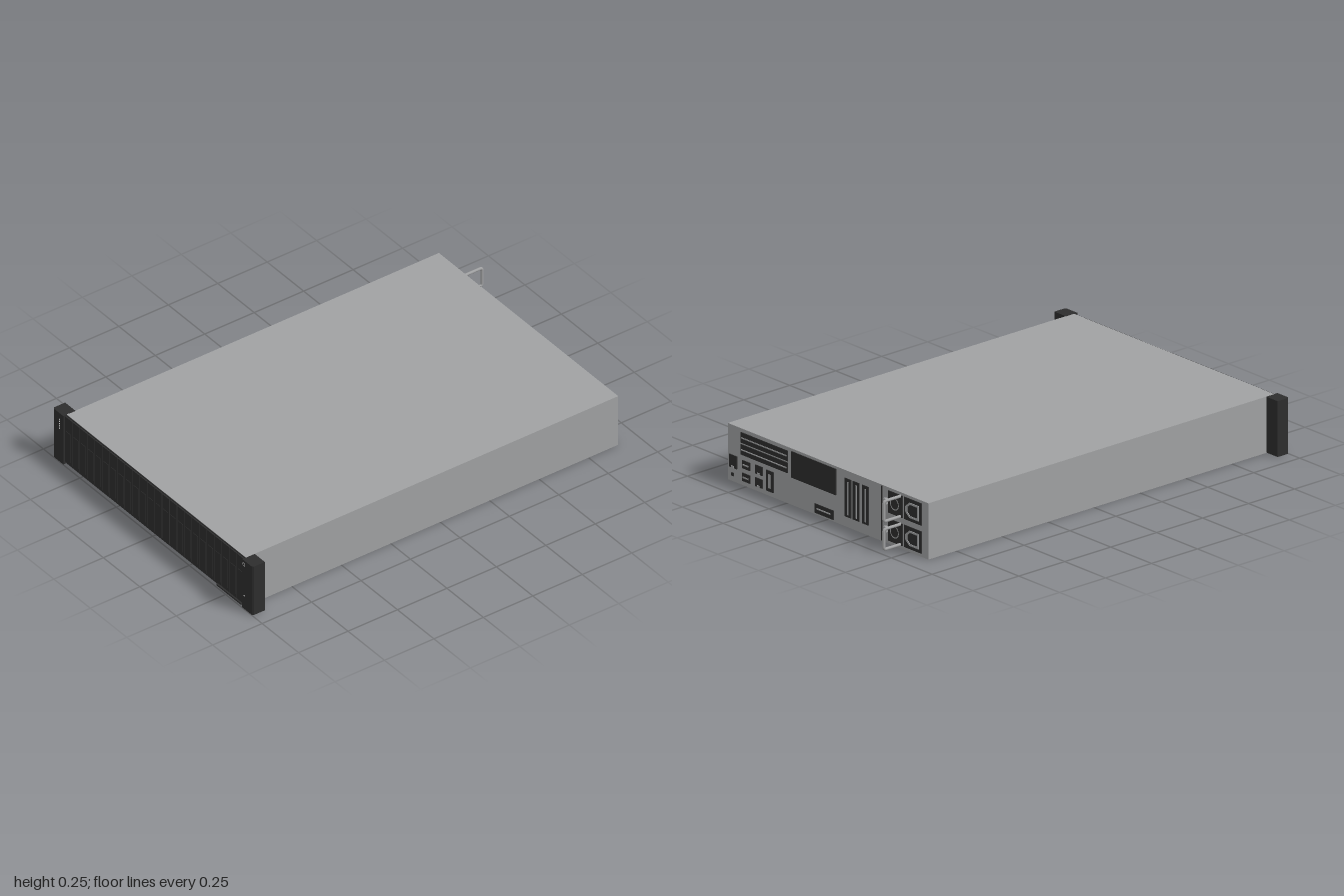
import * as THREE from 'three';

export function createModel() {
  const model = new THREE.Group();
  model.name = 'rackServer';

  const mat = (name, color) => {
    const m = new THREE.MeshStandardMaterial({ color });
    m.name = name;
    return m;
  };
  const steel = mat('steelGrey', 0xa0a1a2);
  const dark = mat('charcoal', 0x2d2d2d);
  const light = mat('lightMark', 0xe4e4e4);

  const add = (name, geo, material, parent = model) => {
    const mesh = new THREE.Mesh(geo, material);
    mesh.name = name;
    parent.add(mesh);
    return mesh;
  };
  // Box given by its extents on each axis
  const box = (name, x0, x1, y0, y1, z0, z1, material, parent) => {
    const geo = new THREE.BoxGeometry(x1 - x0, y1 - y0, z1 - z0);
    geo.translate((x0 + x1) / 2, (y0 + y1) / 2, (z0 + z1) / 2);
    return add(name, geo, material, parent);
  };
  const group = (name) => {
    const g = new THREE.Group();
    g.name = name;
    model.add(g);
    return g;
  };

  const W = 0.615, H = 0.245, BACK = -0.9;

  // Chassis with a dark front bulkhead
  box('chassis', -W, W, 0, H, BACK, 0.982, steel);
  box('frontBulkhead', -W, W, 0.002, H - 0.001, 0.982, 0.985, dark);

  // Row of upright drive carriers
  const drives = group('driveCarriers');
  const count = 24, pitch = (2 * W) / count;
  for (let i = 0; i < count; i++) {
    const x = -W + i * pitch;
    box('driveCarrier', x + 0.002, x + pitch - 0.002, 0.014, H - 0.005, 0.984, 0.991, dark, drives);
    box('carrierLatch', x + 0.009, x + pitch - 0.009, 0.03, 0.17, 0.99, 0.993, dark, drives);
  }
  box('pullTag', 0.43, 0.6, 0.004, 0.011, 0.984, 0.996, dark);

  // Rack ears with a bevelled outer front edge
  for (const s of [-1, 1]) {
    const shape = new THREE.Shape([
      [0.613, 0.938], [0.685, 0.938], [0.685, 0.994], [0.679, 1.0], [0.613, 1.0],
    ].map(([x, z]) => new THREE.Vector2(s * x, -z)));
    const geo = new THREE.ExtrudeGeometry(shape, { depth: H - 0.002, bevelEnabled: false });
    geo.rotateX(-Math.PI / 2);
    geo.translate(0, 0.002, 0);
    add(s < 0 ? 'rightEar' : 'leftEar', geo, dark);
  }

  // Status lamps and button marks on the ears
  const marks = group('earMarks');
  for (let i = 0; i < 5; i++) {
    const y = 0.168 + i * 0.011;
    box('statusLamp', -0.641, -0.637, y, y + 0.005, 0.999, 1.001, light, marks);
  }
  const ring = add('powerRing', new THREE.RingGeometry(0.006, 0.009, 16), light, marks);
  ring.position.set(0.626, 0.225, 1.001);
  box('powerLamp', 0.623, 0.628, 0.066, 0.071, 0.999, 1.001, light, marks);

  // Rear panel
  const rear = group('rearPanel');
  const plate = (name, x0, x1, y0, y1, material = dark, lift = 0.004) =>
    box(name, x0, x1, y0, y1, BACK - lift, BACK + 0.002, material, rear);

  // Expansion slots: two vented covers with thin rails
  for (const y of [0.132, 0.184]) {
    plate('slotCover', 0.245, 0.533, y, y + 0.045);
    plate('slotRail', 0.25, 0.528, y + 0.02, y + 0.025, steel, 0.006);
  }
  plate('rearVent', -0.05, 0.222, 0.12, 0.234);
  for (const x of [-0.142, -0.193, -0.25]) plate('uprightSlot', x, x + 0.038, 0.045, 0.212);
  for (const x of [-0.13, -0.181, -0.238]) plate('uprightSlotRail', x, x + 0.007, 0.055, 0.2, steel, 0.006);
  plate('lowerPort', -0.035, 0.08, 0.008, 0.048);
  plate('lowerPortInset', -0.02, 0.065, 0.026, 0.032, steel, 0.006);

  // Connectors
  plate('networkPort', 0.557, 0.605, 0.06, 0.115);
  plate('networkPortTongue', 0.574, 0.588, 0.06, 0.07, steel, 0.006);
  plate('idButton', 0.577, 0.59, 0.024, 0.038);
  for (const y of [0.02, 0.075]) {
    plate('dataPort', 0.475, 0.525, y, y + 0.035);
    plate('dataPortTongue', 0.483, 0.517, y + 0.014, y + 0.02, steel, 0.006);
    plate('networkSocket', 0.4, 0.445, y, y + 0.038);
    plate('socketNotch', 0.416, 0.429, y, y + 0.008, steel, 0.006);
  }
  plate('displayPort', 0.333, 0.378, 0.02, 0.11);
  plate('displayPortCore', 0.349, 0.362, 0.035, 0.095, steel, 0.006);
  plate('supplySeam', -0.334, -0.329, 0.004, H - 0.004);

  // Two stacked power supplies
  for (const y of [0.015, 0.137]) {
    const yc = y + 0.048;
    plate('supplyFan', -0.458, -0.372, y, y + 0.096);
    const hub = add('fanHub', new THREE.RingGeometry(0.022, 0.027, 24), steel, rear);
    hub.rotation.y = Math.PI;
    hub.position.set(-0.413, yc, BACK - 0.006);
    plate('socketPanel', -0.575, -0.468, y, y + 0.096);

    // D-shaped inlet rim with a recessed-looking centre
    const outline = (r) => {
      const s = new THREE.Shape();
      s.moveTo(-r, -r * 0.8);
      s.lineTo(r * 0.4, -r * 0.8);
      s.lineTo(r, -r * 0.3);
      s.lineTo(r, r * 0.3);
      s.lineTo(r * 0.4, r * 0.8);
      s.lineTo(-r, r * 0.8);
      s.closePath();
      return s;
    };
    const rim = outline(0.041);
    rim.holes.push(outline(0.031));
    const inlet = add('inletRim', new THREE.ExtrudeGeometry(rim, { depth: 0.004, bevelEnabled: false }), steel, rear);
    inlet.position.set(-0.521, yc, BACK - 0.007);
    box('releaseLatch', -0.369, -0.352, yc - 0.012, yc + 0.012, BACK - 0.014, BACK, steel, rear);

    // Pull handle with rounded corners
    const r = 0.012, z1 = -0.9935, y0 = y + 0.004, y1 = y + 0.092, hx = -0.446;
    const v = (yy, zz) => new THREE.Vector3(hx, yy, zz);
    const path = new THREE.CurvePath();
    path.add(new THREE.LineCurve3(v(y0, BACK + 0.01), v(y0, z1 + r)));
    path.add(new THREE.QuadraticBezierCurve3(v(y0, z1 + r), v(y0, z1), v(y0 + r, z1)));
    path.add(new THREE.LineCurve3(v(y0 + r, z1), v(y1 - r, z1)));
    path.add(new THREE.QuadraticBezierCurve3(v(y1 - r, z1), v(y1, z1), v(y1, z1 + r)));
    path.add(new THREE.LineCurve3(v(y1, z1 + r), v(y1, BACK + 0.01)));
    add('pullHandle', new THREE.TubeGeometry(path, 64, 0.0065, 10), steel, rear);
  }

  return model;
}
